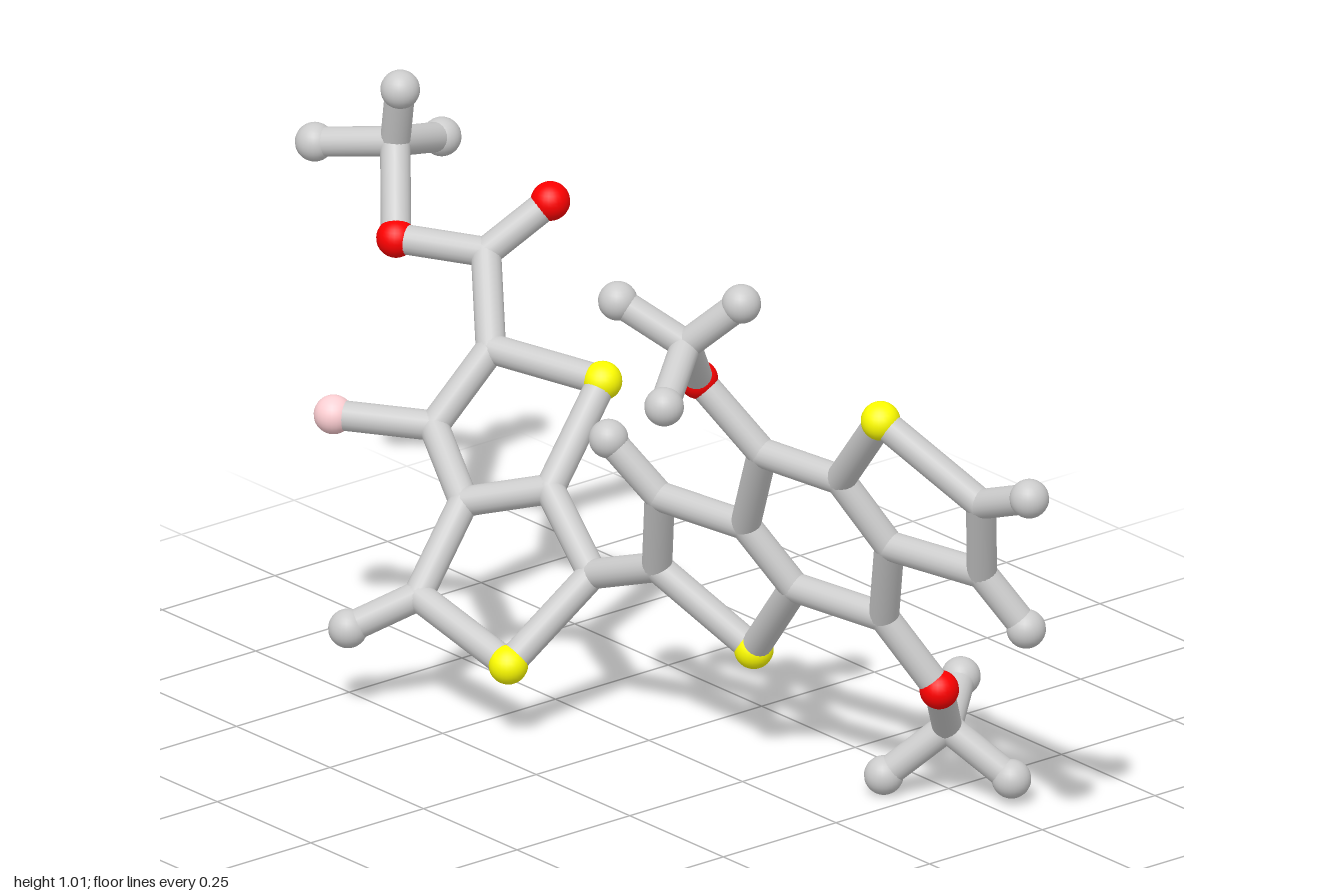
import * as THREE from 'three';

const BALL = 0.034, ROD = 0.026;
const COLORS = { C: 0xcccccc, E: 0xcccccc, S: 0xffff00, O: 0xff0000, F: 0xffd0d4 };
const NAMES = { C: 'carbonJoint', E: 'endBall', S: 'sulfurBall', O: 'oxygenBall', F: 'fluorineBall' };

// Depth of the flat three-ring unit, which lies in one tilted plane
const flat = (x, y) => [x, y, -0.222 * x + 0.377 * y - 0.104];

// Each atom: kind (C = plain joint, E = end ball) and position
const ATOMS = {
  // ester group
  m1: ['E', [-0.80, 0.93, -0.112]],
  m2: ['E', [-0.966, 0.797, -0.06]],
  m3: ['E', [-0.87, 0.785, -0.262]],
  mc: ['C', [-0.835, 0.82, -0.13]],
  eo: ['O', [-0.745, 0.688, -0.057]],
  ko: ['O', [-0.553, 0.768, -0.24]],
  kc: ['C', [-0.602, 0.685, -0.138]],
  // fused pair of five-sided rings
  a1: ['C', [-0.495, 0.56, -0.06]],
  s1: ['S', [-0.293, 0.542, -0.14]],
  a2: ['C', [-0.515, 0.44, 0.05]],
  f: ['F', [-0.665, 0.44, 0.148]],
  a3: ['C', [-0.382, 0.352, 0.094]],
  a4: ['C', [-0.253, 0.393, 0.01]],
  a5: ['C', [-0.352, 0.22, 0.22]],
  h5: ['E', [-0.425, 0.162, 0.315]],
  s2: ['S', [-0.147, 0.148, 0.19]],
  a6: ['C', [-0.113, 0.285, 0.032]],
  // flat three-ring unit
  b1: ['C', flat(0.04, 0.34)],
  b2: ['C', flat(0.103, 0.50)],
  h2: ['E', flat(0.03, 0.597)],
  s3: ['S', flat(0.20, 0.217)],
  c1: ['C', flat(0.28, 0.49)],
  c2: ['C', flat(0.378, 0.663)],
  c3: ['C', flat(0.538, 0.652)],
  c4: ['C', flat(0.60, 0.535)],
  c5: ['C', flat(0.53, 0.372)],
  c6: ['C', flat(0.345, 0.382)],
  s4: ['S', flat(0.68, 0.81)],
  d1: ['C', flat(0.848, 0.687)],
  d2: ['C', flat(0.794, 0.532)],
  g1: ['E', flat(0.965, 0.73)],
  g2: ['E', flat(0.853, 0.436)],
  // upper side branch
  uo: ['O', [0.283, 0.785, 0.125]],
  uc: ['C', [0.37, 0.90, 0.225]],
  u1: ['E', [0.27, 0.967, 0.293]],
  u2: ['E', [0.447, 0.983, 0.166]],
  u3: ['E', [0.436, 0.832, 0.328]],
  // lower side branch
  lo: ['O', [0.60, 0.244, -0.146]],
  lc: ['C', [0.52, 0.13, -0.23]],
  l1: ['E', [0.447, 0.04, -0.15]],
  l2: ['E', [0.617, 0.049, -0.292]],
  l3: ['E', [0.436, 0.173, -0.33]],
};

// Chains of joined atoms, grouped by part
const PARTS = {
  esterGroup: ['m1 mc m2', 'm3 mc eo kc ko', 'kc a1'],
  fusedRingPair: ['a1 a2 a3 a4 s1 a1', 'a2 f', 'a3 a5 s2 a6 a4', 'a5 h5'],
  linkRod: ['a6 b1'],
  threeRingUnit: ['b1 b2 c1 c2 c3 c4 c5 c6 s3 b1', 'b2 h2', 'c1 c6', 'c3 s4 d1 d2 c4', 'd1 g1', 'd2 g2'],
  upperBranch: ['c2 uo uc u1', 'u2 uc u3'],
  lowerBranch: ['c5 lo lc l1', 'l2 lc l3'],
};

export function createModel() {
  const model = new THREE.Group();
  model.name = 'molecule';
  const materials = {};
  for (const k in COLORS) materials[k] = new THREE.MeshStandardMaterial({ color: COLORS[k] });
  const ball = new THREE.SphereGeometry(BALL, 24, 16);
  const joint = new THREE.SphereGeometry(ROD, 24, 16);
  const rod = new THREE.CylinderGeometry(ROD, ROD, 1, 20, 1, true);
  const up = new THREE.Vector3(0, 1, 0);

  // Balls and joints
  const atoms = new THREE.Group();
  atoms.name = 'atoms';
  model.add(atoms);
  for (const [kind, pos] of Object.values(ATOMS)) {
    const mesh = new THREE.Mesh(kind === 'C' ? joint : ball, materials[kind]);
    mesh.name = NAMES[kind];
    mesh.position.set(...pos);
    atoms.add(mesh);
  }

  // Rods between neighbouring atoms
  for (const [name, chains] of Object.entries(PARTS)) {
    const part = new THREE.Group();
    part.name = name;
    model.add(part);
    for (const chain of chains) {
      const pts = chain.split(' ').map((id) => new THREE.Vector3(...ATOMS[id][1]));
      for (let i = 1; i < pts.length; i++) {
        const dir = pts[i].clone().sub(pts[i - 1]);
        const mesh = new THREE.Mesh(rod, materials.C);
        mesh.name = 'bondRod';
        mesh.position.copy(pts[i]).add(pts[i - 1]).multiplyScalar(0.5);
        mesh.scale.y = dir.length();
        mesh.quaternion.setFromUnitVectors(up, dir.normalize());
        part.add(mesh);
      }
    }
  }
  return model;
}
